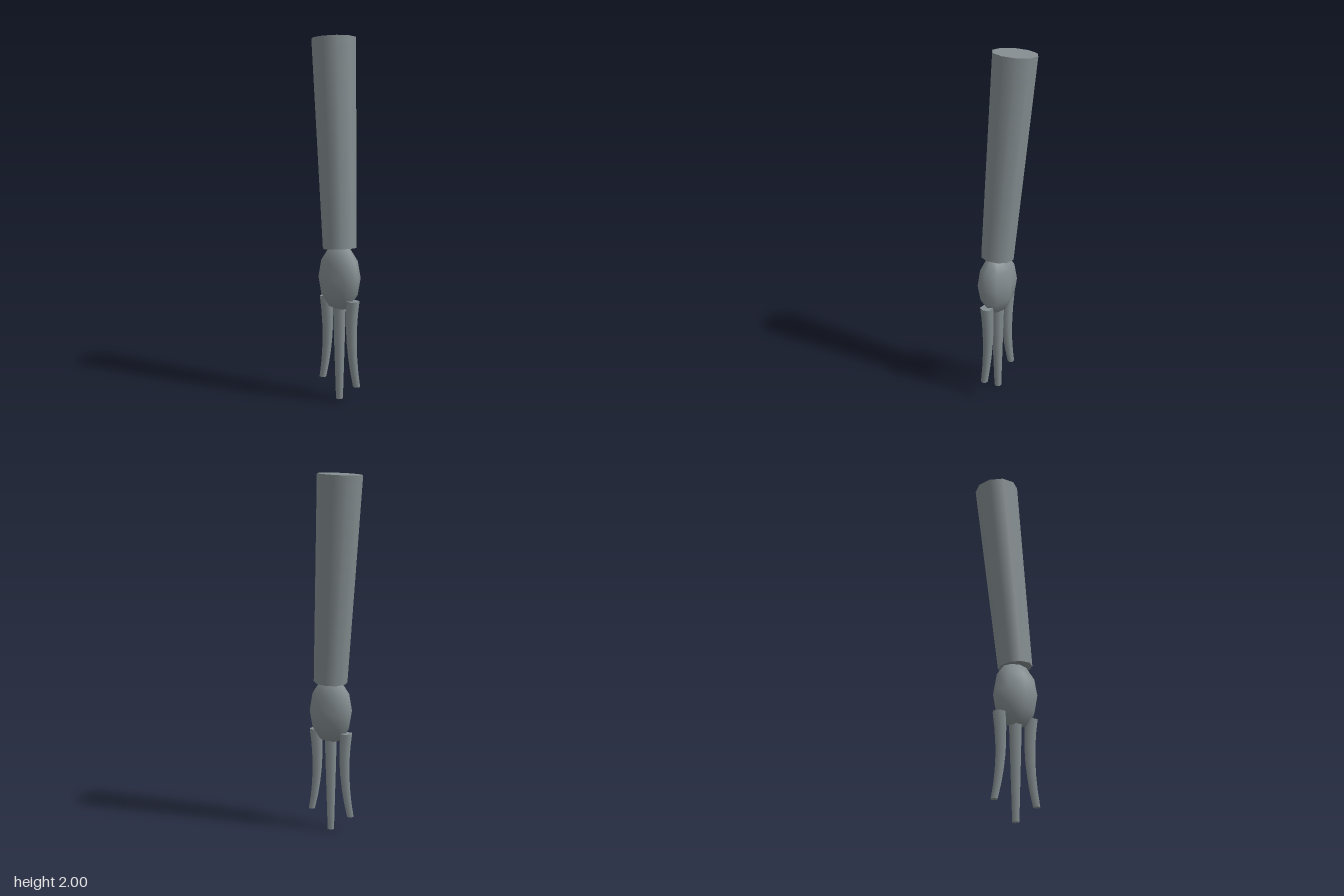
import * as THREE from 'three';

const material = new THREE.MeshStandardMaterial({ color: 0x848d90 });
const CX = -0.036, CZ = 0.032; // vertical axis of the hand

function addMesh(group, name, geometry) {
  const mesh = new THREE.Mesh(geometry, material);
  mesh.name = name;
  group.add(mesh);
  return mesh;
}

// Tapered six-sided finger; bend(t) is the z offset from root (t = 0) to tip (t = 1)
function fingerGeometry(topY, bottomY, rTop, rTip, bend) {
  const length = topY - bottomY;
  const geometry = new THREE.CylinderGeometry(rTop, rTip, length, 6, 6);
  const p = geometry.attributes.position;
  for (let i = 0; i < p.count; i++) {
    const t = 0.5 - p.getY(i) / length;
    p.setZ(i, p.getZ(i) + bend(t));
  }
  geometry.translate(CX, (topY + bottomY) / 2, CZ);
  return geometry;
}

export function createModel() {
  const group = new THREE.Group();
  group.name = 'arm';

  // Forearm: tapered ten-sided cylinder, leaning back and to the side
  const wrist = new THREE.Vector3(-0.035, 0.852, 0.033);
  const top = new THREE.Vector3(0.013, 1.988, -0.064);
  const axis = top.clone().sub(wrist);
  const forearm = addMesh(group, 'forearm',
    new THREE.CylinderGeometry(0.123, 0.094, axis.length(), 10));
  forearm.position.copy(wrist).add(top).multiplyScalar(0.5);
  forearm.quaternion.setFromUnitVectors(new THREE.Vector3(0, 1, 0), axis.normalize());

  // Palm: flattened low-poly ball
  const palm = addMesh(group, 'palm', new THREE.SphereGeometry(1, 8, 6));
  palm.scale.set(0.093, 0.188, 0.14);
  palm.position.set(CX, 0.69, CZ);

  // Straight middle finger and two outward-curling outer fingers
  addMesh(group, 'middleFinger', fingerGeometry(0.56, 0, 0.038, 0.02, () => 0));
  for (const [name, side] of [['frontFinger', 1], ['backFinger', -1]]) {
    addMesh(group, name, fingerGeometry(0.572, 0.098, 0.037, 0.02,
      (t) => side * (0.106 - 0.066 * t + 0.095 * t * t)));
  }
  return group;
}
